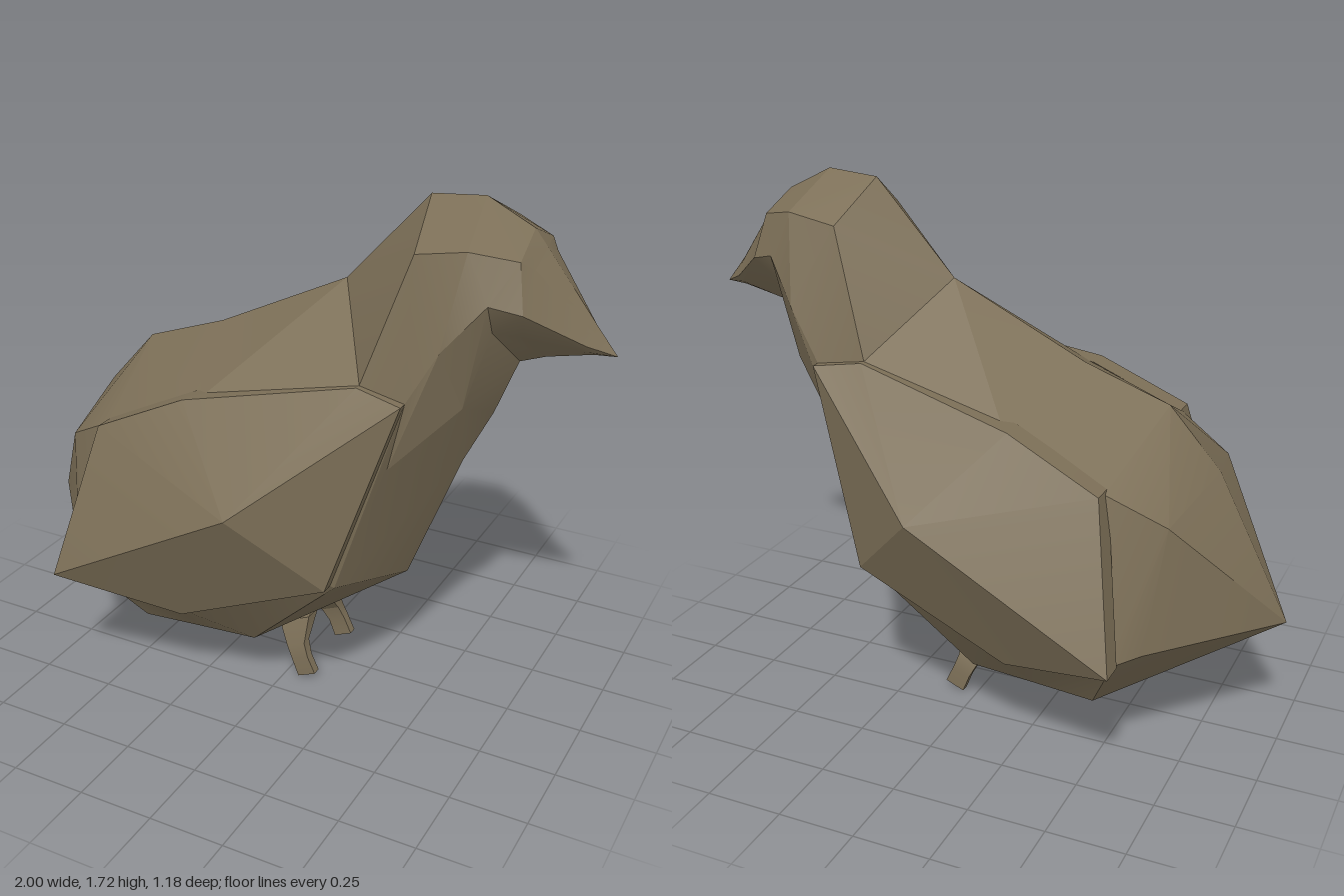
import * as THREE from 'three';
import { toCreasedNormals } from 'three/addons/utils/BufferGeometryUtils.js';

const material = new THREE.MeshStandardMaterial({ color: 0x7c6f57 });

// Mesh from a list of triangles, each three [x, y, z] corners
function meshFrom(name, tris) {
  const geometry = new THREE.BufferGeometry();
  geometry.setAttribute('position', new THREE.Float32BufferAttribute(tris.flat(2), 3));
  const mesh = new THREE.Mesh(toCreasedNormals(geometry, 0.35), material);
  mesh.name = name;
  return mesh;
}

// Reflect triangles across the bird's centre plane, keeping faces outward
const mirrored = (tris) =>
  tris.map(([a, b, c]) => [a, c, b].map(([x, y, z]) => [x, y, -z]));

const triangle = (points) =>
  new THREE.Triangle(...points.map((p) => new THREE.Vector3(...p)));

// Split a four-cornered face along the diagonal that keeps it convex
function quad(a, b, c, d) {
  const plane = triangle([a, b, c]).getPlane(new THREE.Plane());
  const bulges = plane.distanceToPoint(new THREE.Vector3(...d)) > 0;
  const halves = bulges ? [[a, b, d], [b, c, d]] : [[a, b, c], [a, c, d]];
  return halves.filter((t) => triangle(t).getArea() > 1e-7);
}

// Skin neighbouring cross-sections
function loft(sections, closed) {
  const tris = [];
  for (let i = 0; i < sections.length - 1; i++) {
    const s = sections[i], n = sections[i + 1], count = s.length;
    for (let j = 0; j < (closed ? count : count - 1); j++) {
      const k = (j + 1) % count;
      tris.push(...quad(s[j], s[k], n[k], n[j]));
    }
  }
  return tris;
}

// Body and head: half sections (spine, shoulder, side, lower side, keel), tail to beak
function bodyTriangles() {
  const tail = Array(5).fill([-1, 0.43, 0]);
  const beakTip = Array(5).fill([1, 1.308, 0]);
  return loft([
    tail,
    [[-0.76, 0.9, 0], [-0.7, 0.83, 0.32], [-0.66, 0.44, 0.4], [-0.47, 0.175, 0.29], [-0.49, 0.07, 0]],
    [[-0.59, 1.09, 0], [-0.52, 0.93, 0.38], [-0.59, 0.42, 0.46], [-0.26, 0.188, 0.285], [-0.28, 0.1, 0]],
    [[-0.31, 1.19, 0], [-0.2, 1.06, 0.37], [-0.22, 0.33, 0.42], [-0.05, 0.2, 0.28], [-0.06, 0.13, 0]],
    [[0.14, 1.41, 0], [0.32, 1.19, 0.28], [0.27, 0.56, 0.39], [0.29, 0.54, 0.37], [0.375, 0.43, 0]],
    [[0.41, 1.71, 0], [0.45, 1.59, 0.21], [0.475, 1.17, 0.3], [0.42, 0.94, 0.29], [0.55, 0.88, 0]],
    [[0.58, 1.725, 0], [0.61, 1.62, 0.21], [0.57, 1.34, 0.29], [0.61, 1.14, 0.19], [0.64, 1.06, 0]],
    [[0.73, 1.65, 0], [0.74, 1.59, 0.14], [0.68, 1.475, 0.22], [0.68, 1.38, 0.17], [0.71, 1.24, 0]],
    [[0.77, 1.6, 0], [0.77, 1.56, 0.1], [0.77, 1.45, 0.18], [0.75, 1.36, 0.11], [0.79, 1.27, 0]],
    [[0.93, 1.395, 0], [0.93, 1.375, 0.025], [0.92, 1.345, 0.055], [0.92, 1.32, 0.035], [0.93, 1.302, 0]],
    beakTip,
  ], false);
}

// Folded wing: an outline fanned to a raised centre, with a thin rim and back
function wingTriangles() {
  const outline = [
    [-0.62, 0.45, 0.59], [-0.23, 0.33, 0.44], [0.28, 0.55, 0.42], [0.475, 1.17, 0.33],
    [0.32, 1.19, 0.3], [-0.22, 1.08, 0.4], [-0.52, 0.94, 0.43],
  ];
  const crest = [0.03, 0.81, 0.59];
  const inset = ([x, y, z]) => [x, y, z - 0.08];
  const tris = [];
  outline.forEach((p, i) => {
    const q = outline[(i + 1) % outline.length];
    tris.push([p, q, crest], [inset(q), inset(p), inset(crest)]);
    tris.push([p, inset(p), q], [q, inset(p), inset(q)]);
  });
  return tris;
}

// Leg: four-sided sections from thigh to foot [x, y, z, half length, half width]
function legTriangles() {
  const rings = [
    [0.01, 0.2, 0.03, 0.055, 0.05],
    [0.01, 0.195, 0.075, 0.06, 0.035],
    [0.035, 0.12, 0.13, 0.035, 0.018],
    [0.055, 0.075, 0.14, 0.032, 0.015],
    [0.08, 0.017, 0.14, 0.034, 0.015],
  ].map(([x, y, z, l, w]) => [[1, 1], [-1, 1], [-1, -1], [1, -1]].map(
    ([u, v]) => [x + u * l * 0.92, y + u * l * 0.4, z + v * w]));
  return [...loft(rings, true), ...quad(...rings[rings.length - 1])];
}

export function createModel() {
  const bird = new THREE.Group();
  bird.name = 'bird';
  const body = bodyTriangles();
  bird.add(meshFrom('body', [...body, ...mirrored(body)]));
  for (const [name, tris] of [['Wing', wingTriangles()], ['Leg', legTriangles()]]) {
    bird.add(meshFrom('front' + name, tris));
    bird.add(meshFrom('rear' + name, mirrored(tris)));
  }
  return bird;
}
